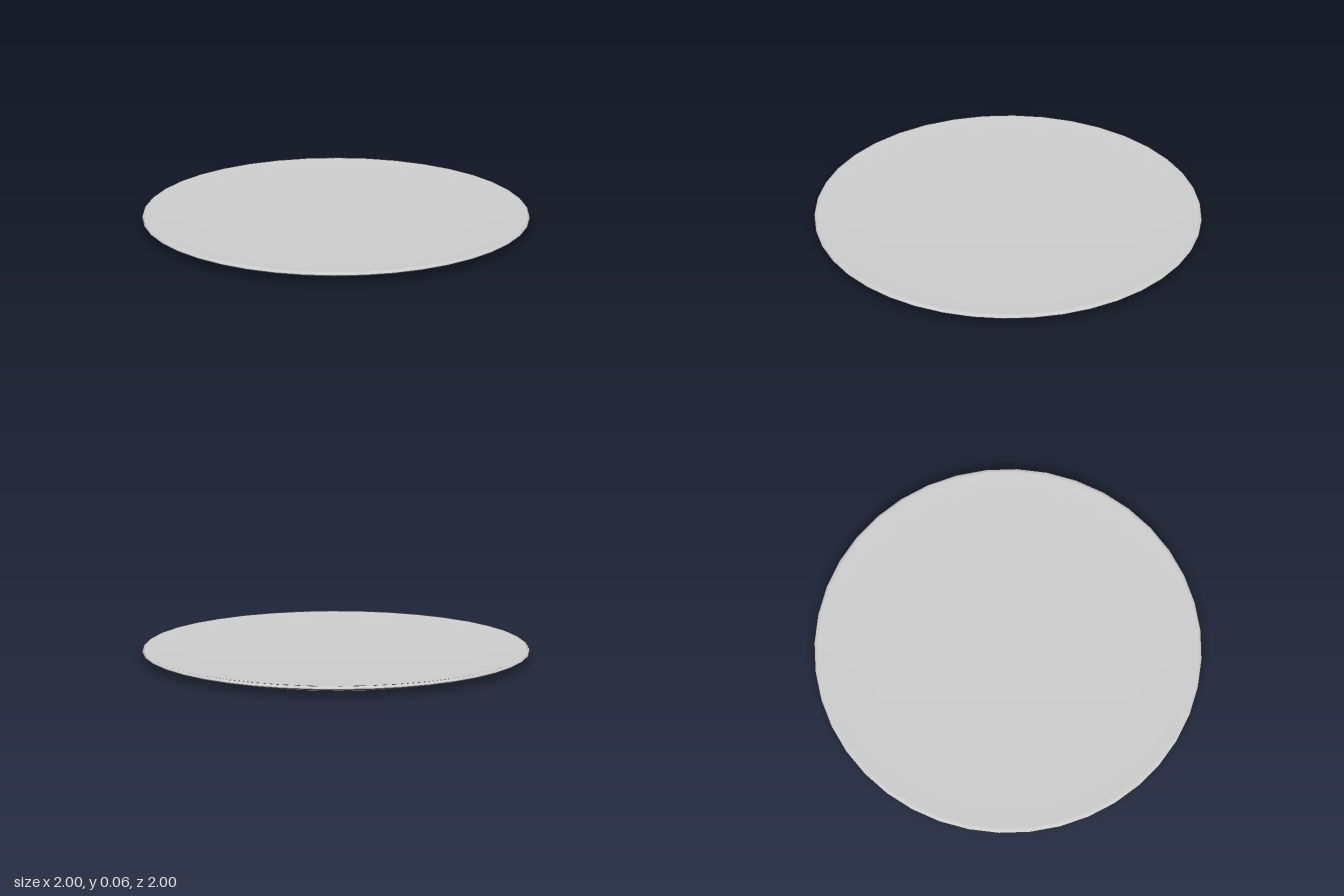
import * as THREE from 'three';
import { toCreasedNormals } from 'three/addons/utils/BufferGeometryUtils.js';

const SEGMENTS = 40;

// Revolve a list of [radius, height] points, smooth except at sharp edges
function turned(name, points, crease) {
  const profile = points.map(([r, y]) => new THREE.Vector2(r, y));
  const geometry = toCreasedNormals(new THREE.LatheGeometry(profile, SEGMENTS), crease);
  const mesh = new THREE.Mesh(geometry, new THREE.MeshStandardMaterial({ color: 0xcccccc }));
  mesh.name = name;
  return mesh;
}

export function createModel() {
  const group = new THREE.Group();
  group.name = 'plate';

  // Shallow disc: tapered underside, rounded rim, barely dished top
  group.add(turned('disc', [
    [0.82, 0.021], [0.9, 0.028], [0.97, 0.035], [0.99, 0.039],
    [1, 0.046], [0.998, 0.054], [0.99, 0.06], [0.978, 0.06],
    [0.95, 0.057], [0.88, 0.054], [0.7, 0.052], [0, 0.052],
  ], 0.9));

  // Flat base with a short foot wall
  group.add(turned('foot', [
    [0, 0], [0.818, 0], [0.824, 0.006], [0.83, 0.022],
  ], 0.6));

  return group;
}
